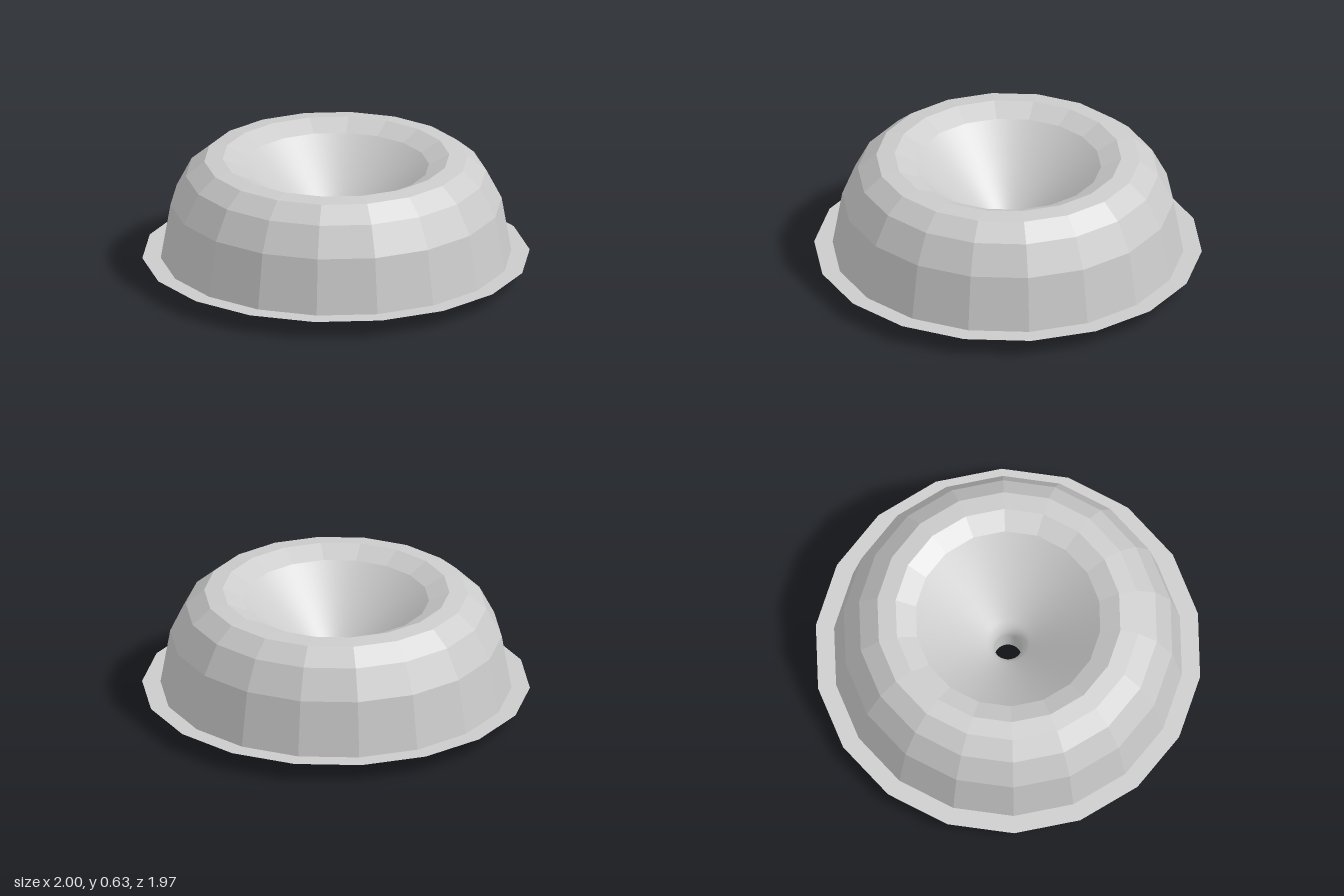
import * as THREE from 'three';

const vec = (pts) => pts.map(([r, y]) => new THREE.Vector2(r, y));

// Revolve a [radius, height] profile, with a corner lying on the x axis
function revolve(name, profile, sides, flatShading) {
  const material = new THREE.MeshStandardMaterial({
    color: 0xcccccc, flatShading, side: THREE.DoubleSide,
  });
  const geometry = new THREE.LatheGeometry(profile, sides, Math.PI / 2);
  const mesh = new THREE.Mesh(geometry, material);
  mesh.name = name;
  return mesh;
}

export function createModel() {
  const group = new THREE.Group();
  group.name = 'funnelDome';
  const sides = 18;

  // Thin flat rim around the foot
  group.add(revolve('flange', vec([[1, 0.095], [0.905, 0.095]]), sides, true));

  // Faceted shell, open underneath
  group.add(revolve('domeShell', vec([
    [0.905, 0.095], [0.855, 0.385], [0.775, 0.54], [0.68, 0.62],
  ]), sides, true));

  // Nearly flat top ring with a bevel down into the mouth
  group.add(revolve('topRing', vec([
    [0.68, 0.62], [0.585, 0.63], [0.48, 0.58],
  ]), sides, true));

  // Smooth cone easing into a straight spout
  const bend = new THREE.QuadraticBezierCurve(...vec([[0.115, 0.235], [0.07, 0.195], [0.07, 0.14]]));
  group.add(revolve('funnel', [
    ...vec([[0.48, 0.58], [0.3, 0.41]]),
    ...bend.getPoints(8),
    ...vec([[0.07, 0]]),
  ], 72, false));

  return group;
}
